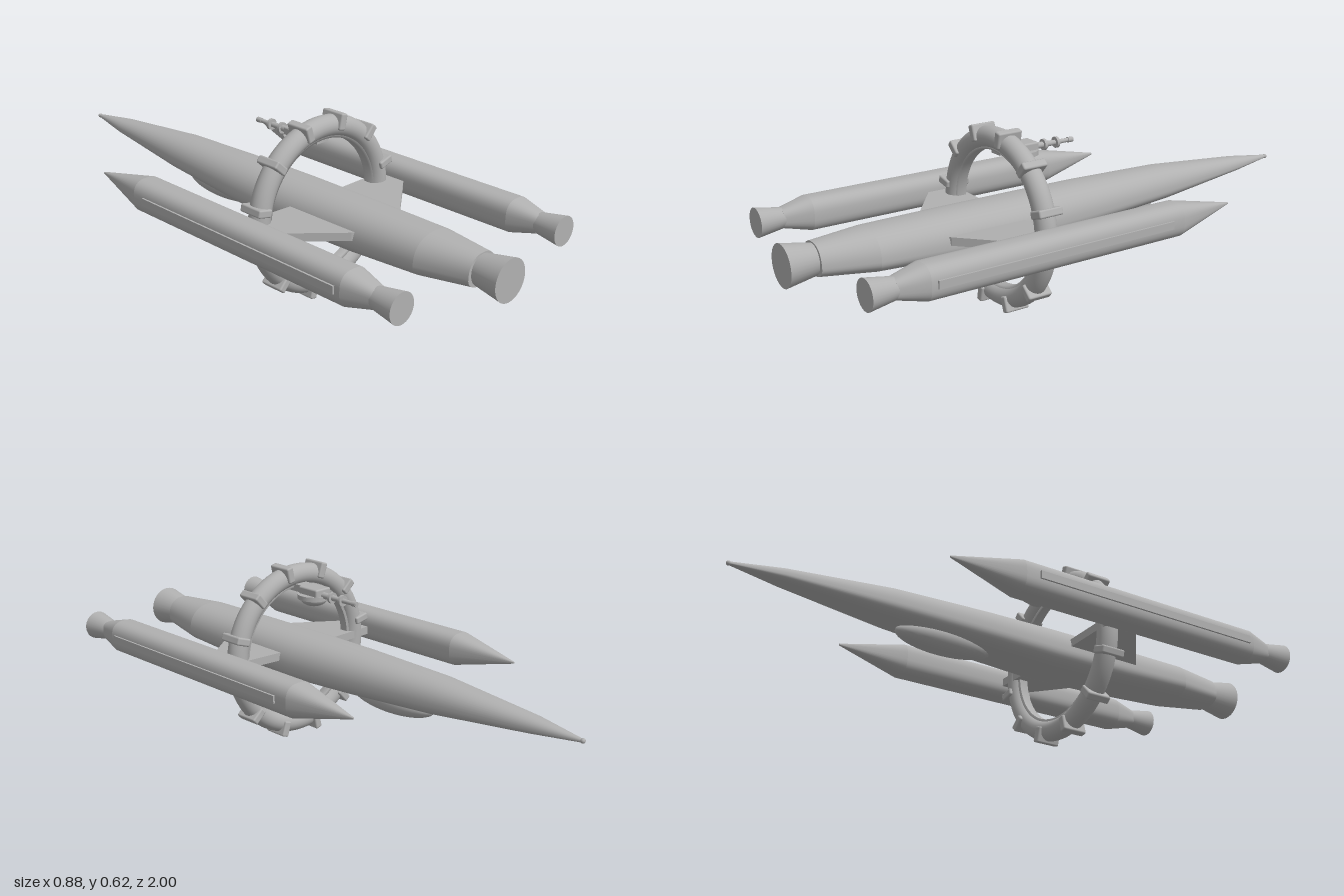
import * as THREE from 'three';
import { RoundedBoxGeometry } from 'three/addons/geometries/RoundedBoxGeometry.js';

const hullGrey = new THREE.MeshStandardMaterial({ color: 0xb0b0b0 });
hullGrey.name = 'hullGrey';

function add(parent, name, geometry, x = 0, y = 0, z = 0) {
  const mesh = new THREE.Mesh(geometry, hullGrey);
  mesh.name = name;
  mesh.position.set(x, y, z);
  parent.add(mesh);
  return mesh;
}

// Hull through cross-sections [z, halfWidth, bottom, top], ordered by rising z.
// waist is the height of the widest point, power the squareness of the section.
function loft(sections, { waist = 0.5, power = 2, sides = 40 } = {}) {
  const pos = [], index = [];
  const curve = v => Math.sign(v) * Math.abs(v) ** (2 / power);
  const ring = ([z, w, bottom, top]) => {
    const mid = bottom + (top - bottom) * waist;
    for (let j = 0; j < sides; j++) {
      const a = (j / sides) * Math.PI * 2;
      const s = curve(Math.sin(a));
      pos.push(w * curve(Math.cos(a)), mid + s * (s > 0 ? top - mid : mid - bottom), z);
    }
  };
  sections.forEach(ring);
  for (let i = 0; i < sections.length - 1; i++) {
    for (let j = 0; j < sides; j++) {
      const k = (j + 1) % sides;
      const a = i * sides + j, b = i * sides + k;
      index.push(a, b, a + sides, b, b + sides, a + sides);
    }
  }
  // end caps with their own vertices
  for (const end of [0, sections.length - 1]) {
    const start = pos.length / 3;
    const [z, , bottom, top] = sections[end];
    ring(sections[end]);
    pos.push(0, (bottom + top) / 2, z);
    for (let j = 0; j < sides; j++) {
      const a = start + j, b = start + (j + 1) % sides, c = start + sides;
      if (end) index.push(c, a, b); else index.push(c, b, a);
    }
  }
  const g = new THREE.BufferGeometry();
  g.setAttribute('position', new THREE.Float32BufferAttribute(pos, 3));
  g.setIndex(index);
  g.computeVertexNormals();
  return g;
}

// Cylinder or cone along z; rear is the +z end
const rod = (rear, front, length, sides = 32) =>
  new THREE.CylinderGeometry(rear, front, length, sides).rotateX(Math.PI / 2);

function fuselage(model) {
  const group = new THREE.Group();
  group.name = 'fuselage';
  model.add(group);
  const shape = { waist: 0.36, power: 2.3, sides: 48 };
  add(group, 'mainHull', loft([
    [-0.995, 0.005, 0.315, 0.325],
    [-0.82, 0.04, 0.297, 0.347],
    [-0.45, 0.081, 0.26, 0.377],
    [-0.1, 0.103, 0.238, 0.384],
    [0.15, 0.113, 0.226, 0.385],
    [0.45, 0.108, 0.232, 0.385],
    [0.72, 0.1, 0.246, 0.383],
  ], shape));
  add(group, 'tailTaper', loft([
    [0.72, 0.1, 0.246, 0.383],
    [0.9, 0.064, 0.265, 0.372],
  ], shape));
  add(group, 'noseTip', new THREE.SphereGeometry(0.008, 16, 12), 0, 0.32, -0.992);
  add(group, 'mainNozzle', rod(0.07, 0.05, 0.11), 0, 0.316, 0.945);
  add(group, 'bellyBlister', new THREE.SphereGeometry(1, 32, 20).scale(0.058, 0.045, 0.18),
    0, 0.25, -0.24);
}

// Swept wing plate, rising slightly towards the pod
function wingGeometry(side) {
  const shape = new THREE.Shape([
    [0.06, 0.2], [0.335, 0.2], [0.335, 0.3], [0.11, 0.48], [0.06, 0.5],
  ].map(([x, z]) => new THREE.Vector2(side * x, -z)));
  const g = new THREE.ExtrudeGeometry(shape, { depth: 0.028, bevelEnabled: false });
  g.rotateX(-Math.PI / 2);
  const p = g.attributes.position;
  for (let i = 0; i < p.count; i++) {
    p.setY(i, p.getY(i) + 0.298 + Math.abs(p.getX(i)) * 0.027);
  }
  g.computeVertexNormals();
  return g;
}

function sidePod(model, side) {
  const label = side > 0 ? 'left' : 'right';
  add(model, label + 'Wing', wingGeometry(side));
  const pod = new THREE.Group();
  pod.name = label + 'Pod';
  pod.position.set(side * 0.376, 0.33, 0);
  model.add(pod);
  const shape = { power: 2.7 };
  const r = 0.057;
  add(pod, 'podNose', loft([[-0.44, 0.003, 0.002, 0.008], [-0.2, r, -r, r]], shape));
  add(pod, 'podBody', loft([[-0.2, r, -r, r], [0.74, r, -r, r]], shape));
  add(pod, 'podTail', loft([[0.74, r, -r, r], [0.835, 0.033, -0.033, 0.033]], shape));
  add(pod, 'podNozzle', rod(0.05, 0.034, 0.095), 0, 0, 0.873);
  add(pod, 'podRail', new THREE.BoxGeometry(0.02, 0.026, 0.87), side * 0.053, 0.002, 0.285);
}

function ringFrame(model) {
  const ring = new THREE.Group();
  ring.name = 'ringFrame';
  ring.position.set(0, 0.316, 0.232);
  model.add(ring);
  add(ring, 'ringTube', new THREE.TorusGeometry(0.269, 0.036, 24, 96));
  // inner band
  const band = [[0.23, -0.016], [0.248, -0.022], [0.248, 0.022], [0.23, 0.016], [0.23, -0.016]];
  const bandGeometry = new THREE.LatheGeometry(
    band.map(([x, y]) => new THREE.Vector2(x, y)), 96).rotateX(Math.PI / 2);
  add(ring, 'innerBand', bandGeometry);
  // twelve clamps
  for (let i = 0; i < 12; i++) {
    const a = (18 + i * 30) * Math.PI / 180;
    const clamp = add(ring, 'ringClamp', new RoundedBoxGeometry(0.056, 0.027, 0.09, 2, 0.006),
      Math.cos(a) * 0.287, Math.sin(a) * 0.287, 0);
    clamp.rotation.z = a;
  }
}

function turret(model) {
  const gun = new THREE.Group();
  gun.name = 'turret';
  gun.position.set(0, 0.525, 0.14);
  model.add(gun);
  add(gun, 'turretPlate', new THREE.CylinderGeometry(0.057, 0.057, 0.016, 32));
  const dome = new THREE.SphereGeometry(1, 32, 12, 0, Math.PI * 2, Math.PI / 2, Math.PI / 2);
  add(gun, 'turretDome', dome.scale(0.047, 0.028, 0.047), 0, -0.007, 0);
  add(gun, 'turretHousing', new RoundedBoxGeometry(0.068, 0.036, 0.09, 2, 0.006), 0, 0.015, -0.003);
  add(gun, 'turretStrut', new THREE.BoxGeometry(0.05, 0.025, 0.08), 0, 0.02, 0.06);
  // barrel with cooling collars
  add(gun, 'barrel', rod(0.012, 0.006, 0.17, 16), 0, 0.01, -0.125);
  for (const z of [-0.09, -0.14]) {
    add(gun, 'barrelCollar', rod(0.019, 0.019, 0.01, 20), 0, 0.01, z);
  }
  add(gun, 'muzzle', rod(0.009, 0.009, 0.02, 16), 0, 0.01, -0.198);
}

export function createModel() {
  const model = new THREE.Group();
  model.name = 'ringedRocketShip';
  fuselage(model);
  for (const side of [1, -1]) sidePod(model, side);
  ringFrame(model);
  turret(model);
  return model;
}
